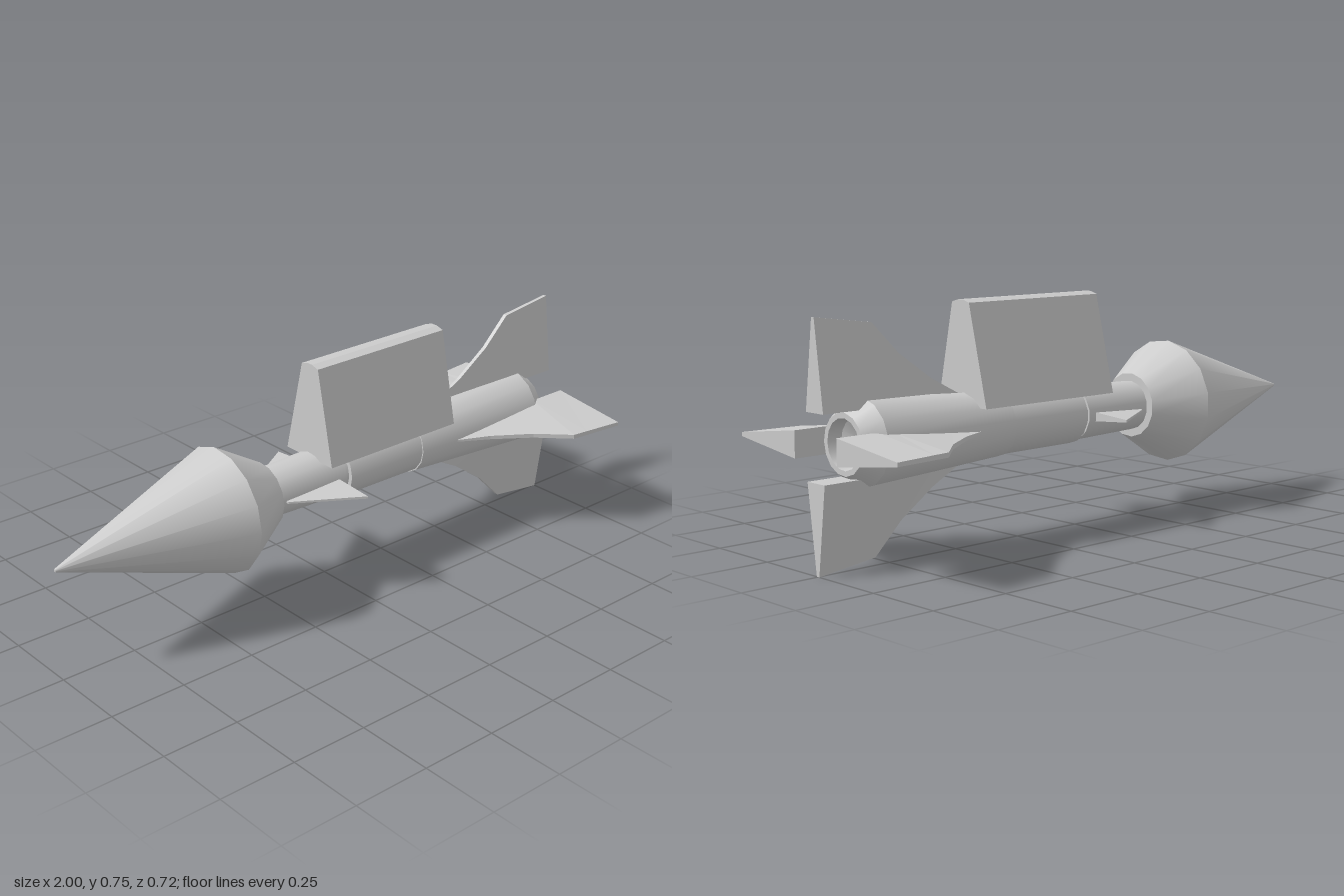
import * as THREE from 'three';

const AXIS_Y = 0.367;
const SIDES = 15;

export function createModel() {
  const model = new THREE.Group();
  const smooth = new THREE.MeshStandardMaterial({ color: 0xcccccc });
  const flat = new THREE.MeshStandardMaterial({ color: 0xcccccc, flatShading: true });

  // Everything is built round the x axis, then raised to the axis height
  const rocket = new THREE.Group();
  rocket.name = 'rocket';
  rocket.position.y = AXIS_Y;
  model.add(rocket);

  // Turned part: each [x, radius] span is its own lathe, so ridges stay sharp
  function turned(name, profile) {
    const group = new THREE.Group();
    group.name = name;
    for (let i = 0; i + 1 < profile.length; i++) {
      const pts = [profile[i], profile[i + 1]].map(([x, r]) => new THREE.Vector2(r, x));
      const geo = new THREE.LatheGeometry(pts, SIDES);
      geo.rotateZ(-Math.PI / 2);
      const mesh = new THREE.Mesh(geo, smooth);
      mesh.name = name + 'Section';
      group.add(mesh);
    }
    rocket.add(group);
  }

  // Closed loft through rings of [x, y, z], ordered from -x to +x
  function loft(name, rings) {
    const pos = [];
    const tri = (a, b, c) => pos.push(...a, ...b, ...c);
    const n = rings[0].length;
    for (let i = 0; i + 1 < rings.length; i++) {
      const a = rings[i], b = rings[i + 1];
      for (let j = 0; j < n; j++) {
        const k = (j + 1) % n;
        tri(a[j], b[j], b[k]);
        tri(a[j], b[k], a[k]);
      }
    }
    const first = rings[0], last = rings[rings.length - 1];
    for (let j = 1; j + 1 < n; j++) {
      tri(first[0], first[j], first[j + 1]);
      tri(last[0], last[j + 1], last[j]);
    }
    const geo = new THREE.BufferGeometry();
    geo.setAttribute('position', new THREE.Float32BufferAttribute(pos, 3));
    geo.computeVertexNormals();
    const mesh = new THREE.Mesh(geo, flat);
    mesh.name = name;
    rocket.add(mesh);
    return mesh;
  }

  // Wedge fin from sections [x, inner radius, outer radius, root half width, edge half width]
  const fin = (name, sections) => loft(name, sections.map(([x, r0, r1, t0, t1]) =>
    [[x, r0, t0], [x, r1, t1], [x, r1, -t1], [x, r0, -t0]]));

  // Warhead
  turned('noseCone', [[-1, 0], [-1, 0.005], [-0.415, 0.202], [-0.25, 0.105], [-0.25, 0.07]]);

  // Neck, sleeve and flared tail with a hollow nozzle
  turned('neck', [[-0.25, 0.08], [0.02, 0.087], [0.02, 0.08], [0.035, 0.08]]);
  turned('sleeve', [[0.035, 0.07], [0.035, 0.094], [0.34, 0.096]]);
  turned('tail', [[0.34, 0.096], [0.34, 0.1], [0.845, 0.13], [0.905, 0.091]]);
  turned('nozzle', [[0.905, 0.091], [0.905, 0.075], [0.86, 0.07], [0.82, 0]]);

  // Tapered block on top
  const section = [[0.067, 0.106], [0.375, 0.04], [0.383, 0.012],
    [0.383, -0.01], [0.375, -0.036], [0.067, -0.11]];
  loft('topBlock', [-0.06, 0.47].map(x => section.map(([y, z]) => [x, y, z])));

  // Four tail fins
  for (let i = 0; i < 4; i++) {
    fin('tailFin', [
      [0.48, 0.098, 0.104, 0.003, 0.003],
      [0.59, 0.098, 0.16, 0.013, 0.006],
      [0.71, 0.098, 0.243, 0.025, 0.007],
      [0.805, 0.098, 0.337, 0.035, 0.007],
      [0.86, 0.098, 0.344, 0.04, 0.007],
      [1, 0.098, 0.362, 0.04, 0.006],
    ]).rotation.x = i * Math.PI / 2;
  }

  // Two small canards on the neck
  for (const s of [1, -1]) {
    const canard = fin('canard', [
      [-0.22, 0.07, 0.088, 0.004, 0.003],
      [-0.01, 0.07, 0.218, 0.015, 0.004],
    ]);
    canard.rotation.x = s * Math.PI / 2;
    canard.position.y = -0.007;
  }

  return model;
}
